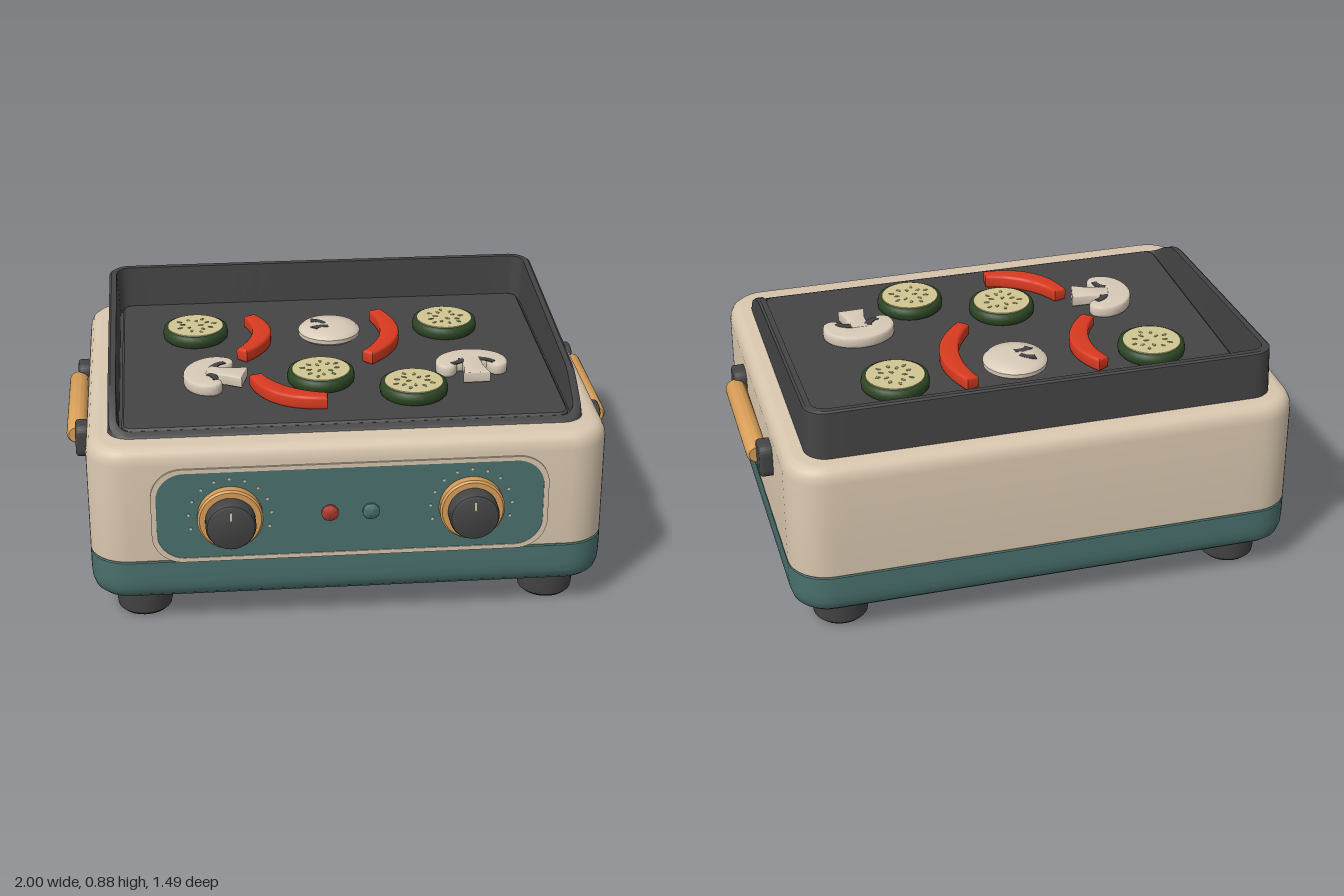
import * as THREE from 'three';
import { toCreasedNormals } from 'three/addons/utils/BufferGeometryUtils.js';

const mat = (name, color) => {
  const m = new THREE.MeshStandardMaterial({ color });
  m.name = name;
  return m;
};

// Rounded rectangle in plan, with straight sides subdivided; y may be a function of z
function ring(hx, hz, r, cz, y) {
  const pts = [], corners = [[1, 1], [-1, 1], [-1, -1], [1, -1]], n = 24;
  corners.forEach(([sx, sz], k) => {
    for (let i = 0; i <= 8; i++) {
      const a = (k + i / 8) * Math.PI / 2;
      pts.push([sx * (hx - r) + r * Math.cos(a), cz + sz * (hz - r) + r * Math.sin(a)]);
    }
    const [tx, tz] = corners[(k + 1) % 4], a = (k + 1) * Math.PI / 2;
    const [px, pz] = pts[pts.length - 1];
    const qx = tx * (hx - r) + r * Math.cos(a), qz = cz + tz * (hz - r) + r * Math.sin(a);
    for (let i = 1; i < n; i++) pts.push([px + (qx - px) * i / n, pz + (qz - pz) * i / n]);
  });
  return pts.map(([x, z]) => [x, typeof y === 'function' ? y(z) : y, z]);
}

// Skin a list of rings; a capped end is closed with a fan to its centre
function loft(rings, cz, capStart, capEnd) {
  const all = rings.slice();
  const centre = (rg) => rg.map(() => [0, rg[0][1], cz]);
  if (capStart) all.unshift(centre(rings[0]));
  if (capEnd) all.push(centre(rings[rings.length - 1]));
  const n = all[0].length, idx = [];
  for (let j = 0; j < all.length - 1; j++) {
    for (let i = 0; i < n; i++) {
      const a = j * n + i, b = j * n + (i + 1) % n;
      if (!(capEnd && j === all.length - 2)) idx.push(a + n, b + n, b);
      if (!(capStart && j === 0)) idx.push(a, a + n, b);
    }
  }
  const g = new THREE.BufferGeometry();
  g.setAttribute('position', new THREE.Float32BufferAttribute(all.flat(2), 3));
  g.setIndex(idx);
  return toCreasedNormals(g, 0.6);
}

function roundedShape(Base, w, h, r) {
  const s = new Base();
  s.moveTo(-w + r, -h).lineTo(w - r, -h).absarc(w - r, -h + r, r, -Math.PI / 2, 0);
  s.lineTo(w, h - r).absarc(w - r, h - r, r, 0, Math.PI / 2);
  s.lineTo(-w + r, h).absarc(-w + r, h - r, r, Math.PI / 2, Math.PI);
  s.lineTo(-w, -h + r).absarc(-w + r, -h + r, r, Math.PI, Math.PI * 1.5);
  return s;
}

// Flat slice: plan shape (x, z) with soft edges, standing on y = 0
function slice(shape, height, bevel) {
  const g = new THREE.ExtrudeGeometry(shape, {
    depth: height - 2 * bevel, bevelSize: bevel, bevelThickness: bevel,
    bevelOffset: -bevel, bevelSegments: 3, curveSegments: 16,
  });
  g.rotateX(Math.PI / 2).translate(0, height - bevel, 0);
  return toCreasedNormals(g, 0.7);
}

export function createModel() {
  const model = new THREE.Group();
  model.name = 'tabletopGriddle';
  const cream = mat('cream enamel', 0xd8c6ae), teal = mat('teal enamel', 0x4a716e);
  const dark = mat('dark iron', 0x444444), wood = mat('wood', 0xd99f59);
  const red = mat('pepper red', 0xd83a20), lampRed = mat('lamp red', 0xb03a2e);
  const skin = mat('courgette skin', 0x2c4524), flesh = mat('courgette flesh', 0xd0c592);
  const seedMat = mat('seed olive', 0x8f8a62), pale = mat('mushroom', 0xd8cab8);

  const add = (name, geo, m, x = 0, y = 0, z = 0, parent = model) => {
    const mesh = new THREE.Mesh(geo, m);
    mesh.name = name;
    mesh.position.set(x, y, z);
    parent.add(mesh);
    return mesh;
  };
  const group = (name, x, y, z) => {
    const g = new THREE.Group();
    g.name = name;
    g.position.set(x, y, z);
    model.add(g);
    return g;
  };

  // Housing: teal base tray and cream upper shell
  const cz = -0.05;
  const body = ([y, inset]) => ring(0.92 - inset, 0.695 - inset, 0.14 - inset, cz, y);
  add('baseTray', loft([[0.11, 0.05], [0.114, 0.03], [0.13, 0.012], [0.16, 0.002], [0.19, 0], [0.262, 0], [0.266, 0.006]].map(body), cz, true, true), teal);
  add('upperShell', loft([[0.264, 0.006], [0.27, 0], [0.64, 0], [0.665, 0.004], [0.685, 0.014], [0.697, 0.03], [0.7, 0.05]].map(body), cz, true, true), cream);

  // Feet
  const footGeo = new THREE.LatheGeometry([[0, 0], [0.085, 0], [0.097, 0.012], [0.1, 0.03], [0.1, 0.115], [0, 0.115]]
    .map(([x, y]) => new THREE.Vector2(x, y)), 32);
  for (const x of [-0.735, 0.735]) for (const z of [0.47, -0.57]) add('foot', toCreasedNormals(footGeo, 0.6), dark, x, 0, z);

  // Splash guard: wall height falls gently forward, then curves down to the open front
  const profile = [[-0.7, 0.882], [0.3, 0.82], [0.34, 0.812], [0.39, 0.79], [0.44, 0.763], [0.5, 0.724], [0.53, 0.708], [0.56, 0.706]];
  const wallTop = (z) => {
    const i = Math.max(1, profile.findIndex((p) => p[0] >= z));
    const [a, b] = [profile[i - 1], profile[i]];
    return a[1] + (b[1] - a[1]) * (z - a[0]) / (b[0] - a[0]);
  };
  const pz = -0.06;
  add('splashGuard', loft([
    ring(0.842, 0.61, 0.08, pz, 0.69), ring(0.836, 0.604, 0.075, pz, (z) => wallTop(z) - 0.006),
    ring(0.828, 0.596, 0.07, pz, wallTop), ring(0.808, 0.576, 0.05, pz, wallTop),
    ring(0.8, 0.568, 0.045, pz, 0.702),
  ], pz, false, true), dark);
  add('cookingPlate', loft([
    ring(0.79, 0.572, 0.04, -0.058, 0.7), ring(0.79, 0.572, 0.04, -0.058, 0.715), ring(0.783, 0.565, 0.035, -0.058, 0.722),
  ], -0.058, false, true), dark);

  // Control panel with a slim cream frame
  const flat = (shape, depth) => new THREE.ExtrudeGeometry(shape, { depth, bevelEnabled: false, curveSegments: 10 });
  const frame = roundedShape(THREE.Shape, 0.7, 0.182, 0.11);
  frame.holes.push(roundedShape(THREE.Path, 0.682, 0.166, 0.1));
  add('panelFrame', flat(frame, 0.009), cream, 0, 0.445, 0.643);
  add('controlPanel', flat(roundedShape(THREE.Shape, 0.684, 0.168, 0.1), 0.006), teal, 0, 0.445, 0.643);

  // Knobs: wooden collar, dark grip, pointer and dial marks
  const turned = (pts) => toCreasedNormals(new THREE.LatheGeometry(pts.map(([x, y]) => new THREE.Vector2(x, y)), 40).rotateX(Math.PI / 2), 0.6);
  const collar = turned([[0.113, 0], [0.115, 0.005], [0.115, 0.034], [0.108, 0.041], [0, 0.041]]);
  const grip = turned([[0.088, 0.035], [0.088, 0.085], [0.083, 0.096], [0.075, 0.1], [0, 0.1]]);
  const dot = new THREE.CylinderGeometry(0.005, 0.005, 0.004, 8).rotateX(Math.PI / 2);
  for (const x of [-0.425, 0.425]) {
    const knob = group('knob', x, 0.44, 0.645);
    add('knobCollar', collar, wood, 0, 0, 0, knob);
    add('knobGrip', grip, dark, 0, 0, 0, knob);
    add('knobPointer', new THREE.BoxGeometry(0.007, 0.032, 0.004), cream, 0, 0.045, 0.1, knob);
    for (let i = 0; i <= 10; i++) {
      const a = Math.PI * (-0.1 + 1.2 * i / 10);
      add('dialMark', dot, cream, 0.145 * Math.cos(a), 0.145 * Math.sin(a), 0.006, knob);
    }
  }

  // Indicator lamps
  const lamp = turned([[0.03, 0], [0.03, 0.012], [0.022, 0.018], [0, 0.02]]);
  add('redLamp', lamp, lampRed, -0.075, 0.437, 0.645);
  add('tealLamp', lamp, teal, 0.07, 0.437, 0.645);

  // Side handles: wooden bar between two dark brackets
  const bracketGeo = slice(roundedShape(THREE.Shape, 0.064, 0.049, 0.034), 0.056, 0.012).rotateZ(-Math.PI / 2);
  for (const s of [1, -1]) {
    const handle = group(s > 0 ? 'leftHandle' : 'rightHandle', 0, 0.545, -0.077);
    handle.rotation.y = s > 0 ? 0 : Math.PI;
    for (const e of [-1, 1]) add('handleBracket', bracketGeo, dark, 0.91, 0, e * 0.273, handle);
    const bar = [[0, -0.25], [0.03, -0.25], [0.038, -0.235], [0.038, 0.235], [0.03, 0.25], [0, 0.25]];
    add('handleBar', turned(bar), wood, 0.962, 0, 0, handle);
  }

  // Courgette slices
  const floorY = 0.722;
  const rind = new THREE.LatheGeometry([[0.114, 0], [0.122, 0.008], [0.124, 0.024], [0.12, 0.042], [0.106, 0.046], [0, 0.045]]
    .map(([x, y]) => new THREE.Vector2(x, y)), 32);
  const seedGeo = new THREE.SphereGeometry(1, 8, 6).scale(0.011, 0.003, 0.006);
  [[-0.51, -0.285], [0.45, -0.285], [-0.065, 0.16], [0.26, 0.295]].forEach(([x, z], k) => {
    const c = group('courgetteSlice', x, floorY, z);
    add('courgetteRind', rind, skin, 0, 0, 0, c);
    add('courgetteFlesh', new THREE.CylinderGeometry(0.106, 0.108, 0.008, 32), flesh, 0, 0.045, 0, c);
    for (let i = 0; i < 14; i++) {
      const a = i * 2.4 + k, r = 0.02 + 0.052 * Math.sqrt(i / 13);
      add('seed', seedGeo, seedMat, r * Math.cos(a), 0.049, r * Math.sin(a), c).rotation.y = -a;
    }
  });

  // Pepper strips: a bent band around a curve, narrowing at the ends
  const strips = [[[-0.3, -0.37], [-0.2, -0.2], [-0.345, -0.035]], [[0.19, -0.385], [0.29, -0.15], [0.12, 0.025]], [[-0.305, 0.185], [-0.25, 0.37], [-0.06, 0.39]]];
  for (const pts of strips) {
    const curve = new THREE.QuadraticBezierCurve(...pts.map(([x, z]) => new THREE.Vector2(x, z)));
    const sideA = [], sideB = [];
    for (let i = 0; i <= 16; i++) {
      const t = i / 16, p = curve.getPoint(t), d = curve.getTangent(t);
      const w = 0.024 + 0.012 * Math.sin(Math.PI * t);
      sideA.push(new THREE.Vector2(p.x - d.y * w, p.y + d.x * w));
      sideB.unshift(new THREE.Vector2(p.x + d.y * w, p.y - d.x * w));
    }
    add('pepperStrip', slice(new THREE.Shape([...sideA, ...sideB]), 0.05, 0.01), red, 0, floorY, 0);
  }

  // Mushroom slices: curled cap, stem and dark gills
  const cap = new THREE.Shape();
  cap.moveTo(-0.055, 0.03).bezierCurveTo(-0.06, 0.08, -0.1, 0.09, -0.125, 0.06);
  cap.bezierCurveTo(-0.16, -0.02, -0.08, -0.085, 0, -0.085);
  cap.bezierCurveTo(0.08, -0.085, 0.16, -0.02, 0.125, 0.06);
  cap.bezierCurveTo(0.1, 0.09, 0.06, 0.08, 0.055, 0.03).lineTo(-0.055, 0.03);
  const stem = new THREE.Shape();
  stem.moveTo(-0.034, 0).lineTo(-0.036, 0.08).lineTo(-0.05, 0.14).lineTo(0.05, 0.14).lineTo(0.036, 0.08).lineTo(0.034, 0);
  const capGeo = slice(cap, 0.045, 0.01), stemGeo = slice(stem, 0.042, 0.006);
  const gill = new THREE.Shape();
  gill.moveTo(-0.012, -0.02).quadraticCurveTo(0.03, -0.012, 0.045, 0.02).lineTo(0.03, 0.035).quadraticCurveTo(0.012, 0.005, -0.012, 0.012);
  const gillGeo = slice(gill, 0.004, 0.001);
  for (const [x, z, turn] of [[-0.48, 0.13, 1.32], [0.495, 0.1, 0.03]]) {
    const m = group('mushroomSlice', x, floorY, z);
    m.rotation.y = turn;
    add('mushroomCap', capGeo, pale, 0, 0, 0, m);
    add('mushroomStem', stemGeo, pale, 0, 0.005, 0, m);
    add('gills', gillGeo, dark, 0.04, 0.043, 0.022, m);
    add('gills', gillGeo, dark, -0.04, 0.043, 0.022, m).rotation.y = -Math.PI / 2 - 0.3;
  }

  // Whole mushroom cap lying flat
  const whole = group('roundMushroom', 0, floorY, -0.255);
  add('roundCap', toCreasedNormals(new THREE.LatheGeometry([[0.1, 0], [0.117, 0.012], [0.118, 0.028], [0.105, 0.042], [0.06, 0.049], [0, 0.05]]
    .map(([x, y]) => new THREE.Vector2(x, y)), 32), 0.8), pale, 0, 0, 0, whole);
  add('gills', gillGeo, dark, -0.055, 0.046, -0.035, whole);
  add('gills', gillGeo, dark, -0.05, 0.046, 0.03, whole).rotation.y = 0.8;
  return model;
}
